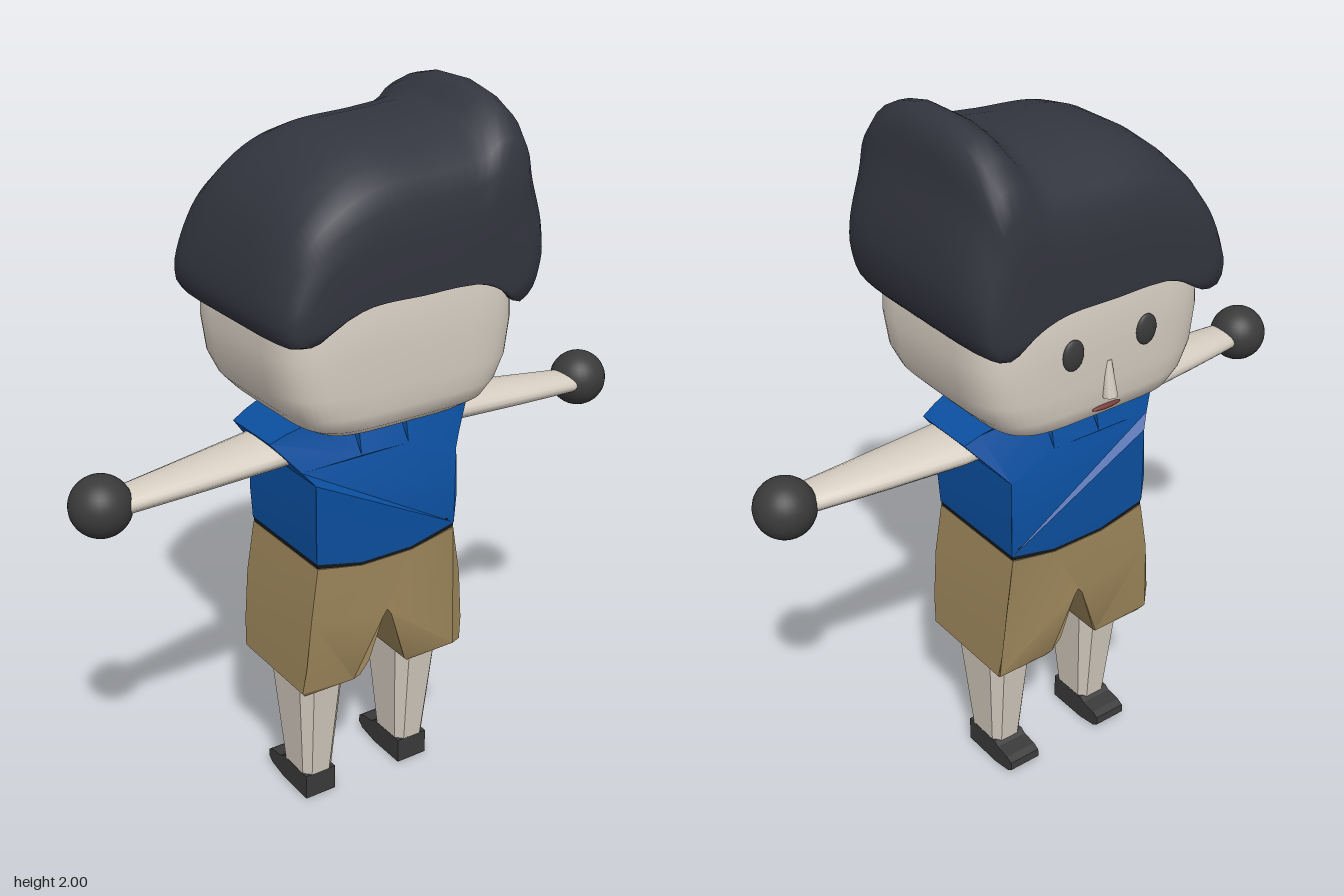
import * as THREE from 'three';
import { toCreasedNormals } from 'three/addons/utils/BufferGeometryUtils.js';

const paint = (color) => new THREE.MeshStandardMaterial({ color, side: THREE.DoubleSide });
const SKIN = paint(0xd6cdc1), HAIR = paint(0x33353f), BLUE = paint(0x0b4f9f);
const TAN = paint(0x9c855a), DARK = paint(0x3a3a3a), BLACK = paint(0x14161a), LIP = paint(0x7a3b38);
const lerp = THREE.MathUtils.lerp;

// Skin a list of equal-length rings and close both ends
function loft(rings) {
  const n = rings[0].length, pos = [], idx = [];
  rings.forEach((r) => r.forEach((p) => pos.push(p.x, p.y, p.z)));
  for (let r = 0; r < rings.length - 1; r++) {
    for (let i = 0; i < n; i++) {
      const j = (i + 1) % n, a = r * n + i, b = r * n + j;
      idx.push(a, a + n, b, b, a + n, b + n);
    }
  }
  [0, rings.length - 1].forEach((r, end) => {
    const c = new THREE.Vector3();
    rings[r].forEach((p) => c.addScaledVector(p, 1 / n));
    const centre = pos.length / 3;
    pos.push(c.x, c.y, c.z);
    for (let i = 0; i < n; i++) {
      const a = r * n + i, b = r * n + (i + 1) % n;
      if (end) idx.push(centre, b, a);
      else idx.push(centre, a, b);
    }
  });
  const geo = new THREE.BufferGeometry();
  geo.setAttribute('position', new THREE.Float32BufferAttribute(pos, 3));
  geo.setIndex(idx);
  geo.computeVertexNormals();
  return geo;
}

// Read a value from a short list of [key, value] steps
function steps(list, k) {
  for (let i = 1; i < list.length; i++) {
    const [k0, v0] = list[i - 1], [k1, v1] = list[i];
    if (k <= k1) return lerp(v0, v1, THREE.MathUtils.clamp((k - k0) / (k1 - k0), 0, 1));
  }
  return list[list.length - 1][1];
}

// Cut cloth from half an outline mirrored in x; half(x, y) gives its half depth
function garment(halfOutline, half) {
  const mirrored = halfOutline.filter((p) => p[0] > 0).map(([x, y]) => [-x, y]).reverse();
  const shape = new THREE.Shape([...halfOutline, ...mirrored].map((p) => new THREE.Vector2(...p)));
  const geo = new THREE.ExtrudeGeometry(shape, { depth: 1, bevelEnabled: false });
  const p = geo.attributes.position;
  for (let i = 0; i < p.count; i++) {
    const side = p.getZ(i) > 0.5 ? 1 : -1;
    p.setZ(i, -0.008 + side * half(Math.abs(p.getX(i)), p.getY(i)));
  }
  return toCreasedNormals(geo, 0.5);
}

// Rounded-square ring lying flat at height y
function squareRing(y, hx, hz, power = 5, n = 48) {
  const bend = (v) => Math.sign(v) * Math.abs(v) ** (2 / power);
  return Array.from({ length: n }, (_, i) => {
    const t = (i / n) * Math.PI * 2;
    return new THREE.Vector3(hx * bend(Math.cos(t)), y, hz * bend(Math.sin(t)));
  });
}

function hairGeometry() {
  const outline = [[-0.39, 1.53], [-0.36, 1.66], [-0.3, 1.78], [-0.2, 1.87], [-0.1, 1.912], [0.1, 1.93],
    [0.21, 1.948], [0.25, 1.985], [0.29, 2], [0.335, 1.965], [0.36, 1.85], [0.395, 1.7], [0.4, 1.6],
    [0.375, 1.5], [0.325, 1.465], [0.275, 1.505], [0.2, 1.55], [0, 1.55], [-0.2, 1.55],
    [-0.275, 1.5], [-0.33, 1.472], [-0.375, 1.48]];
  const curve = new THREE.CatmullRomCurve3(outline.map(([x, y]) => new THREE.Vector3(x, y, 0)), true);
  const points = curve.getSpacedPoints(80).slice(0, -1);
  // depth, width scale, scale above the hairline, scale below it
  const half = [[0.303, 0.66, 0.28, 0.05], [0.302, 0.82, 0.44, 0.5], [0.294, 0.92, 0.62, 0.9],
    [0.27, 0.965, 0.76, 1], [0.22, 0.99, 0.88, 1], [0.15, 1, 0.955, 1], [0.07, 1, 0.995, 1]];
  const back = half.map(([z, ...k]) => [-z, ...k]);
  return loft([...back, ...half.reverse()].map(([z, kx, up, down]) => points.map((p) =>
    new THREE.Vector3(p.x * kx, 1.55 + (p.y - 1.55) * (p.y > 1.55 ? up : down), z))));
}

export function createModel() {
  const model = new THREE.Group();
  const add = (name, geo, material, parent = model) => {
    const mesh = new THREE.Mesh(geo, material);
    mesh.name = name;
    parent.add(mesh);
    return mesh;
  };

  // Head and hair
  add('head', loft([[1.17, 0.12, 0.1], [1.177, 0.19, 0.18], [1.195, 0.235, 0.235], [1.22, 0.275, 0.268],
    [1.26, 0.312, 0.28], [1.32, 0.342, 0.284], [1.42, 0.356, 0.286], [1.55, 0.35, 0.284],
    [1.65, 0.3, 0.25]].map((r) => squareRing(...r))), SKIN);
  add('hair', hairGeometry(), HAIR);

  // Face, looking towards -z
  const face = new THREE.Group();
  face.name = 'face';
  model.add(face);
  const ball = new THREE.SphereGeometry(1, 24, 16);
  for (const s of [1, -1]) {
    const eye = add(s > 0 ? 'leftEye' : 'rightEye', ball, DARK, face);
    eye.scale.set(0.032, 0.042, 0.012);
    eye.position.set(s * 0.115, 1.425, -0.286);
  }
  const nose = add('nose', new THREE.CylinderGeometry(0.009, 0.02, 0.1, 8), SKIN, face);
  nose.position.set(0, 1.325, -0.285);
  nose.rotation.x = 0.12;
  const mouth = add('mouth', ball, LIP, face);
  mouth.scale.set(0.045, 0.007, 0.008);
  mouth.position.set(0, 1.242, -0.277);

  // Shirt with flared sleeves and two slits at the collar
  const shirtDepth = (x, y) =>
    steps([[0.78, 0.165], [0.9, 0.173], [1.04, 0.168], [1.13, 0.14], [1.19, 0.112]], y) *
    steps([[0.22, 1], [0.31, 0.72]], x);
  add('shirt', garment([[0, 0.778], [0.08, 0.778], [0.222, 0.812], [0.226, 0.9], [0.222, 1.04], [0.25, 1.075],
    [0.313, 1.152], [0.27, 1.172], [0.215, 1.19], [0.088, 1.19], [0.074, 1.085], [0.06, 1.19], [0, 1.19]],
  shirtDepth), BLUE);
  add('belt', garment([[0, 0.768], [0.08, 0.768], [0.22, 0.8], [0.22, 0.83], [0, 0.83]],
    () => 0.165), BLACK);

  // Shorts
  const shortsDepth = (x, y) => steps([[0.4, 0.14], [0.42, 0.153], [0.46, 0.163], [0.6, 0.171], [0.8, 0.167]], y);
  add('shorts', garment([[0, 0.61], [0.014, 0.59], [0.055, 0.46], [0.075, 0.415], [0.09, 0.4], [0.25, 0.402],
    [0.264, 0.42], [0.257, 0.5], [0.243, 0.65], [0.22, 0.798], [0.08, 0.77], [0, 0.77]], shortsDepth), TAN);

  // Shoe profile, toe towards -z
  const shoeShape = new THREE.Shape([[-0.066, 0], [0.06, 0], [0.125, 0.012], [0.143, 0.027], [0.14, 0.05],
    [0.12, 0.06], [0.075, 0.066], [0.06, 0.076], [-0.066, 0.076]].map((p) => new THREE.Vector2(...p)));
  const shoeGeo = new THREE.ExtrudeGeometry(shoeShape, { depth: 0.098, bevelEnabled: false });
  shoeGeo.translate(0, 0, -0.049).rotateY(Math.PI / 2);

  // Limbs
  for (const s of [1, -1]) {
    const side = s > 0 ? 'left' : 'right';
    // x, centre y, centre z, half height, half depth
    const armRings = [[0.18, 1.11, 0, 0.045, 0.1], [0.3, 1.1, 0.002, 0.041, 0.095],
      [0.5, 1.09, 0.018, 0.036, 0.076], [0.74, 1.08, 0.038, 0.029, 0.052]];
    add(side + 'Arm', loft(armRings.map(([x, y, z, h, d]) => Array.from({ length: 20 }, (_, i) => {
      const t = (i / 20) * Math.PI * 2;
      return new THREE.Vector3(s * x, y + s * h * Math.sin(t), z + d * Math.cos(t));
    }))), SKIN);
    add(side + 'Hand', new THREE.SphereGeometry(0.08, 28, 20), DARK).position.set(s * 0.757, 1.08, 0.03);

    const leg = loft([[0.06, 0.047, 0.064], [0.42, 0.072, 0.108]].map(([y, hx, hz]) =>
      [[1, -0.7], [1, 0.7], [0.6, 1], [-0.6, 1], [-1, 0.7], [-1, -0.7], [-0.6, -1], [0.6, -1]]
        .map(([x, z]) => new THREE.Vector3(s * 0.16 + x * hx, y, z * hz))));
    add(side + 'Leg', toCreasedNormals(leg, 0.4), SKIN);
    add(side + 'Shoe', shoeGeo, DARK).position.x = s * 0.16;
  }
  return model;
}
